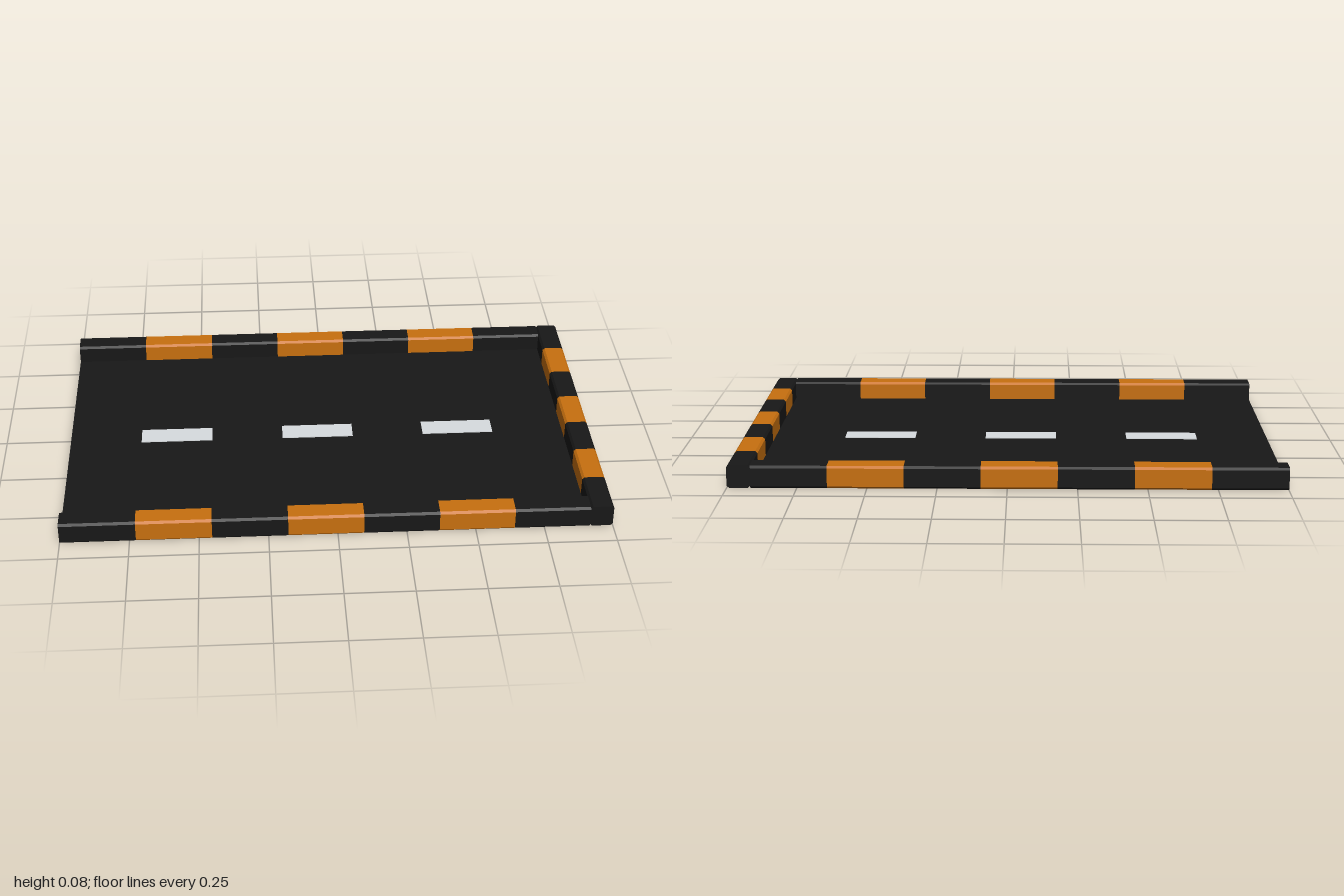
import * as THREE from 'three';

const material = (color) => new THREE.MeshStandardMaterial({ color, flatShading: true });

// Chamfered bar of the given width and height, running along +z from 0
function barGeometry(width, height, length, c = 0.008) {
  const w = width / 2;
  const shape = new THREE.Shape([
    [-w + c, 0], [w - c, 0], [w, c], [w, height - c],
    [w - c, height], [-w + c, height], [-w, height - c], [-w, c],
  ].map(([x, y]) => new THREE.Vector2(x, y)));
  return new THREE.ExtrudeGeometry(shape, { depth: length, bevelEnabled: false });
}

export function createModel() {
  const group = new THREE.Group();
  const black = material(0x181818);
  const orange = material(0xc8700f);
  const white = material(0xd8dcdf);
  const HEIGHT = 0.083, WIDTH = 0.084, COUNT = 7;
  const X0 = -1, X1 = 0.915, HALF = 0.662;

  const add = (parent, name, geometry, mat, x, y, z) => {
    const mesh = new THREE.Mesh(geometry, mat);
    mesh.name = name;
    mesh.position.set(x, y, z);
    parent.add(mesh);
    return mesh;
  };

  // Road slab
  const slabDepth = 2 * (HALF - WIDTH) + 0.01;
  add(group, 'roadSlab', new THREE.BoxGeometry(X1 - X0, 0.012, slabDepth), black, (X0 + X1) / 2, 0.008, 0);

  // Kerb of alternating black and orange segments, along +z
  const addKerb = (name, length) => {
    const kerb = new THREE.Group();
    kerb.name = name;
    const step = length / COUNT;
    for (let i = 0; i < COUNT; i++) {
      const striped = i % 2 === 1;
      add(kerb, striped ? 'orangeSegment' : 'blackSegment',
        barGeometry(WIDTH, HEIGHT, step), striped ? orange : black, 0, 0, i * step);
    }
    group.add(kerb);
    return kerb;
  };

  // Two long kerbs
  for (const side of [-1, 1]) {
    const kerb = addKerb(side > 0 ? 'frontKerb' : 'backKerb', X1 - X0);
    kerb.rotation.y = Math.PI / 2;
    kerb.position.set(X0, 0, side * (HALF - WIDTH / 2));
  }

  // Closed end
  const endKerb = addKerb('endKerb', 1.312);
  endKerb.position.set(1 - WIDTH / 2, 0, -0.656);

  // Centre line dashes, in step with the long kerbs
  const step = (X1 - X0) / COUNT;
  for (let i = 1; i < COUNT; i += 2) {
    add(group, 'laneDash', new THREE.BoxGeometry(step, 0.004, 0.084), white, X0 + (i + 0.5) * step, 0.015, 0);
  }
  return group;
}
